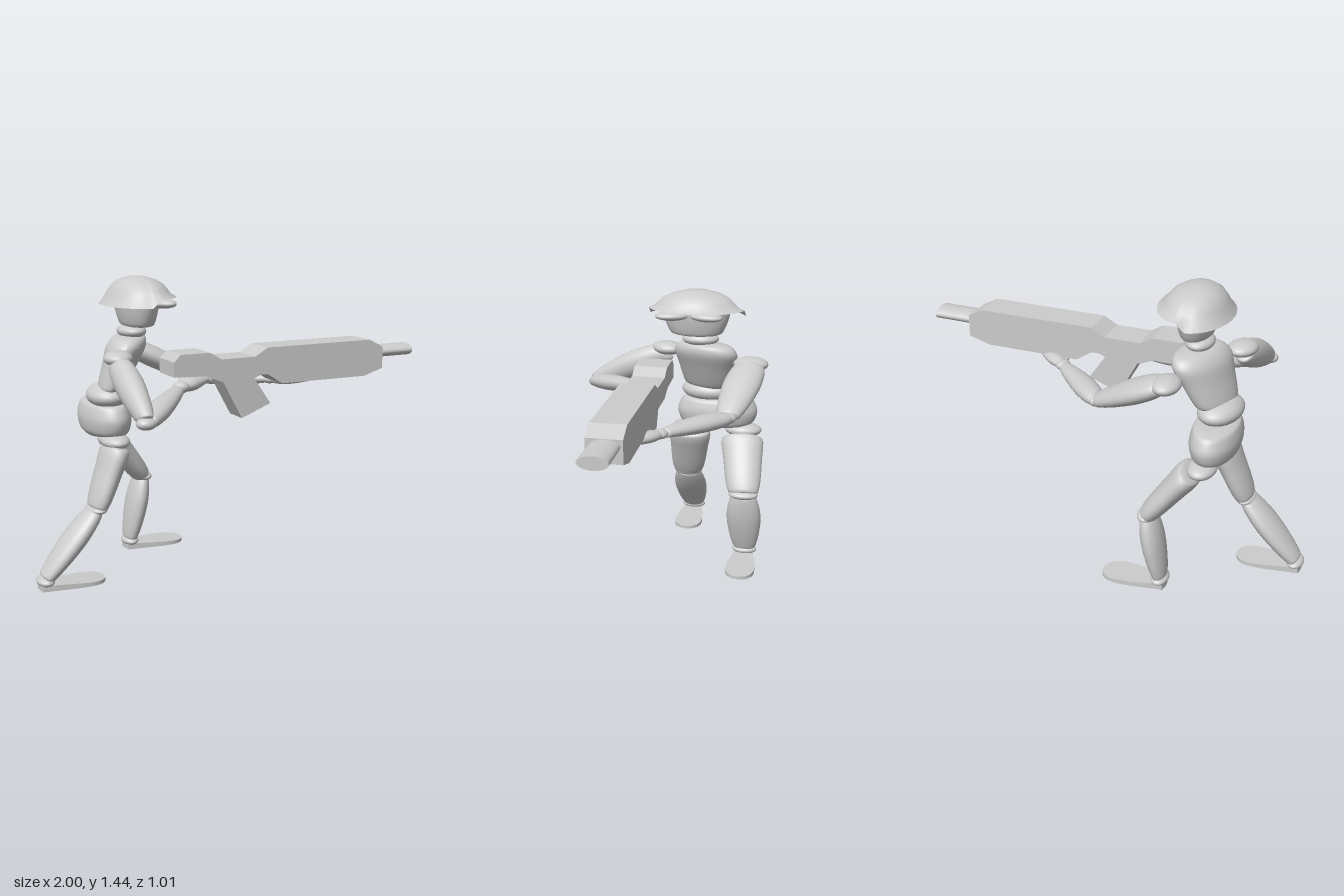
import * as THREE from 'three';

const mat = new THREE.MeshStandardMaterial({ color: 0xcccccc });
const shellMat = new THREE.MeshStandardMaterial({ color: 0xcccccc, side: THREE.DoubleSide });
const WIDE = 1.75; // the whole figure is broadened along z

const V = (p) => new THREE.Vector3(...p);

export function createModel() {
  const model = new THREE.Group();

  function add(name, geo, material = mat) {
    const mesh = new THREE.Mesh(geo, material);
    mesh.name = name;
    model.add(mesh);
    return mesh;
  }

  // Lathe from [radius, height] points, smoothed along the profile
  function lathe(points, segments = 32) {
    const curve = new THREE.CatmullRomCurve3(points.map(([r, y]) => new THREE.Vector3(r, y, 0)), false, 'centripetal');
    const profile = curve.getPoints(24).map((p) => new THREE.Vector2(Math.max(p.x, 0), p.y));
    return new THREE.LatheGeometry(profile, segments);
  }

  // Tapered limb between two points; r0, r1, r2 are radii at start, middle and end
  function limb(name, a, b, r0, r1, r2) {
    const start = V(a), end = V(b);
    start.z /= WIDE;
    end.z /= WIDE;
    const dir = end.clone().sub(start), len = dir.length();
    const geo = lathe([[0, 0], [r0 * 0.8, 0.005], [r0, 0.03 * len + 0.008], [r1, len * 0.4],
      [r2, len * 0.96 - 0.006], [r2 * 0.8, len - 0.002], [0, len]]);
    geo.applyQuaternion(new THREE.Quaternion().setFromUnitVectors(new THREE.Vector3(0, 1, 0), dir.normalize()));
    geo.translate(start.x, start.y, start.z).scale(1, 1, WIDE);
    add(name, geo);
  }

  // Ellipsoid joint
  function joint(name, pos, radii, turn = 0) {
    add(name, new THREE.SphereGeometry(1, 28, 18).scale(...radii).rotateY(turn).translate(...pos));
  }

  // Oval body section that can be twisted and leaned forward
  function section(name, points, sx, sz, pos, twist = 0, lean = 0) {
    const geo = lathe(points, 40).scale(sx, 1, sz).rotateY(twist);
    geo.applyMatrix4(new THREE.Matrix4().makeShear(0, 0, lean, 0, 0, 0));
    const p = geo.attributes.position;
    if (lean) {
      // keep the lean regardless of shear convention
      const ref = lathe(points, 40).scale(sx, 1, sz).rotateY(twist).attributes.position;
      for (let i = 0; i < p.count; i++) p.setXYZ(i, ref.getX(i) + lean * ref.getY(i), ref.getY(i), ref.getZ(i));
      geo.computeVertexNormals();
    }
    add(name, geo.translate(...pos));
  }

  // Trunk
  section('pelvis', [[0, -0.08], [0.82, -0.075], [0.95, -0.045], [1, 0], [0.93, 0.045], [0.83, 0.07], [0, 0.077]],
    0.115, 0.215, [-0.575, 0.765, -0.225]);
  joint('abdomen', [-0.575, 0.875, -0.175], [0.1, 0.06, 0.145], -0.15);
  section('chest', [[0, -0.13], [0.66, -0.125], [0.76, -0.1], [0.9, 0], [1, 0.07], [0.88, 0.11], [0.5, 0.13], [0, 0.135]],
    0.095, 0.18, [-0.505, 1.03, -0.17], -0.38, 0.4);
  joint('neck', [-0.455, 1.18, -0.145], [0.066, 0.035, 0.095]);

  // Head with goggles
  section('head', [[0, -0.075], [0.62, -0.072], [0.78, -0.055], [0.96, 0.03], [0.98, 0.07], [0.8, 0.11], [0, 0.13]],
    0.096, 0.178, [-0.436, 1.28, -0.125]);
  for (const side of [-1, 1])
    joint('goggleLens', [-0.352, 1.317, -0.1 + side * 0.085], [0.05, 0.024, 0.09], side * 0.3);

  // Helmet shell: the brim sits higher over the face than at the back
  const helmet = new THREE.LatheGeometry([[0, 1.44], [0.25, 1.436], [0.5, 1.42], [0.68, 1.395], [0.79, 1.365],
    [0.88, 1.335], [1, 1.308]].map(([r, y]) => new THREE.Vector2(r, y)), 48);
  const hp = helmet.attributes.position;
  for (let i = 0; i < hp.count; i++) {
    const x = hp.getX(i), r = Math.hypot(x, hp.getZ(i));
    const front = THREE.MathUtils.smoothstep(x, -0.12, 0.12);
    hp.setY(i, hp.getY(i) + 0.038 * front * r ** 4);
  }
  helmet.scale(0.17, 1, 0.247).translate(-0.43, 0, -0.128);
  helmet.computeVertexNormals();
  add('helmet', helmet, shellMat);

  // Legs: hip, knee, ankle and foot on each side
  const legs = [
    { side: 'right', hip: [-0.575, 0.665, -0.083], thigh: [-0.57, 0.645, -0.078], knee: [-0.69, 0.355, -0.05], ankle: [-0.955, 0.04, -0.045] },
    { side: 'left', hip: [-0.555, 0.665, -0.37], thigh: [-0.51, 0.645, -0.37], knee: [-0.313, 0.385, -0.405], ankle: [-0.383, 0.04, -0.413] },
  ];
  for (const { side, hip, thigh, knee, ankle } of legs) {
    joint(side + 'Hip', hip, [0.067, 0.037, 0.098]);
    limb(side + 'Thigh', thigh, knee, 0.061, 0.059, 0.046);
    joint(side + 'Knee', knee, [0.048, 0.024, 0.078]);
    limb(side + 'Shin', knee, [ankle[0], ankle[1] + 0.01, ankle[2]], 0.038, 0.052, 0.036);
    joint(side + 'Ankle', ankle, [0.042, 0.024, 0.066]);
    // Thin sole, thinning towards the toe
    const sole = new THREE.Shape();
    sole.moveTo(-0.03, -0.045);
    sole.bezierCurveTo(0.08, -0.06, 0.16, -0.082, 0.22, -0.074);
    sole.bezierCurveTo(0.31, -0.06, 0.31, 0.06, 0.22, 0.074);
    sole.bezierCurveTo(0.16, 0.082, 0.08, 0.06, -0.03, 0.045);
    sole.quadraticCurveTo(-0.045, 0, -0.03, -0.045);
    const foot = new THREE.ExtrudeGeometry(sole, { depth: 0.03, bevelEnabled: false, curveSegments: 12 });
    foot.rotateX(-Math.PI / 2);
    const fp = foot.attributes.position;
    for (let i = 0; i < fp.count; i++) fp.setY(i, fp.getY(i) * (1 - 1.6 * Math.max(fp.getX(i), 0)));
    foot.computeVertexNormals();
    add(side + 'Foot', foot.translate(ankle[0] + 0.006, 0, ankle[2]));
  }

  // Right arm, elbow out, hand at the grip
  joint('rightShoulder', [-0.602, 1.085, 0.055], [0.068, 0.036, 0.085], -0.3);
  limb('rightUpperArm', [-0.605, 1.065, 0.07], [-0.635, 0.875, 0.45], 0.05, 0.062, 0.04);
  joint('rightElbow', [-0.638, 0.865, 0.462], [0.046, 0.028, 0.042]);
  limb('rightForearm', [-0.625, 0.87, 0.45], [-0.35, 0.937, 0.165], 0.035, 0.043, 0.026);
  joint('rightWrist', [-0.335, 0.945, 0.155], [0.04, 0.028, 0.04]);
  limb('rightHand', [-0.335, 0.945, 0.14], [-0.16, 0.955, 0.06], 0.025, 0.034, 0.018);
  limb('rightThumb', [-0.31, 0.95, 0.12], [-0.27, 0.995, 0.05], 0.018, 0.018, 0.014);

  // Left arm, reaching under the fore end
  joint('leftShoulder', [-0.392, 1.075, -0.415], [0.065, 0.037, 0.09]);
  limb('leftUpperArm', [-0.37, 1.07, -0.415], [-0.04, 0.9, -0.345], 0.045, 0.054, 0.035);
  joint('leftElbow', [-0.03, 0.898, -0.34], [0.035, 0.029, 0.05]);
  limb('leftForearm', [-0.03, 0.898, -0.335], [0.25, 0.9, -0.085], 0.034, 0.041, 0.024);
  joint('leftWrist', [0.26, 0.9, -0.07], [0.036, 0.024, 0.038]);
  limb('leftHand', [0.265, 0.9, -0.06], [0.43, 0.906, 0.045], 0.022, 0.027, 0.014);
  limb('leftThumb', [0.26, 0.9, -0.05], [0.3, 0.902, 0.06], 0.014, 0.016, 0.012);

  // Rifle: flat-sided body and magazine, oval barrel
  function slab(name, outline, z0, z1) {
    const shape = new THREE.Shape(outline.map(([x, y]) => new THREE.Vector2(x, y)));
    add(name, new THREE.ExtrudeGeometry(shape, { depth: z1 - z0, bevelEnabled: false }).translate(0, 0, z0));
  }
  slab('rifleBody', [[-0.365, 0.99], [-0.2, 0.983], [-0.12, 0.95], [0.05, 0.95], [0.09, 0.967], [0.13, 0.967],
    [0.21, 0.915], [0.69, 0.913], [0.8, 0.945], [0.8, 1.055], [0.72, 1.096], [0.13, 1.096], [0.06, 1.057],
    [-0.12, 1.057], [-0.18, 1.093], [-0.33, 1.093], [-0.365, 1.06]], -0.02, 0.145);
  slab('rifleMagazine', [[-0.11, 0.955], [-0.003, 0.76], [0.153, 0.82], [0.06, 0.955]], 0.005, 0.13);
  add('rifleBarrel', new THREE.CylinderGeometry(1, 1, 0.21, 32)
    .rotateZ(-Math.PI / 2).scale(1, 0.031, 0.068).translate(0.895, 1.022, 0.06));

  return model;
}
